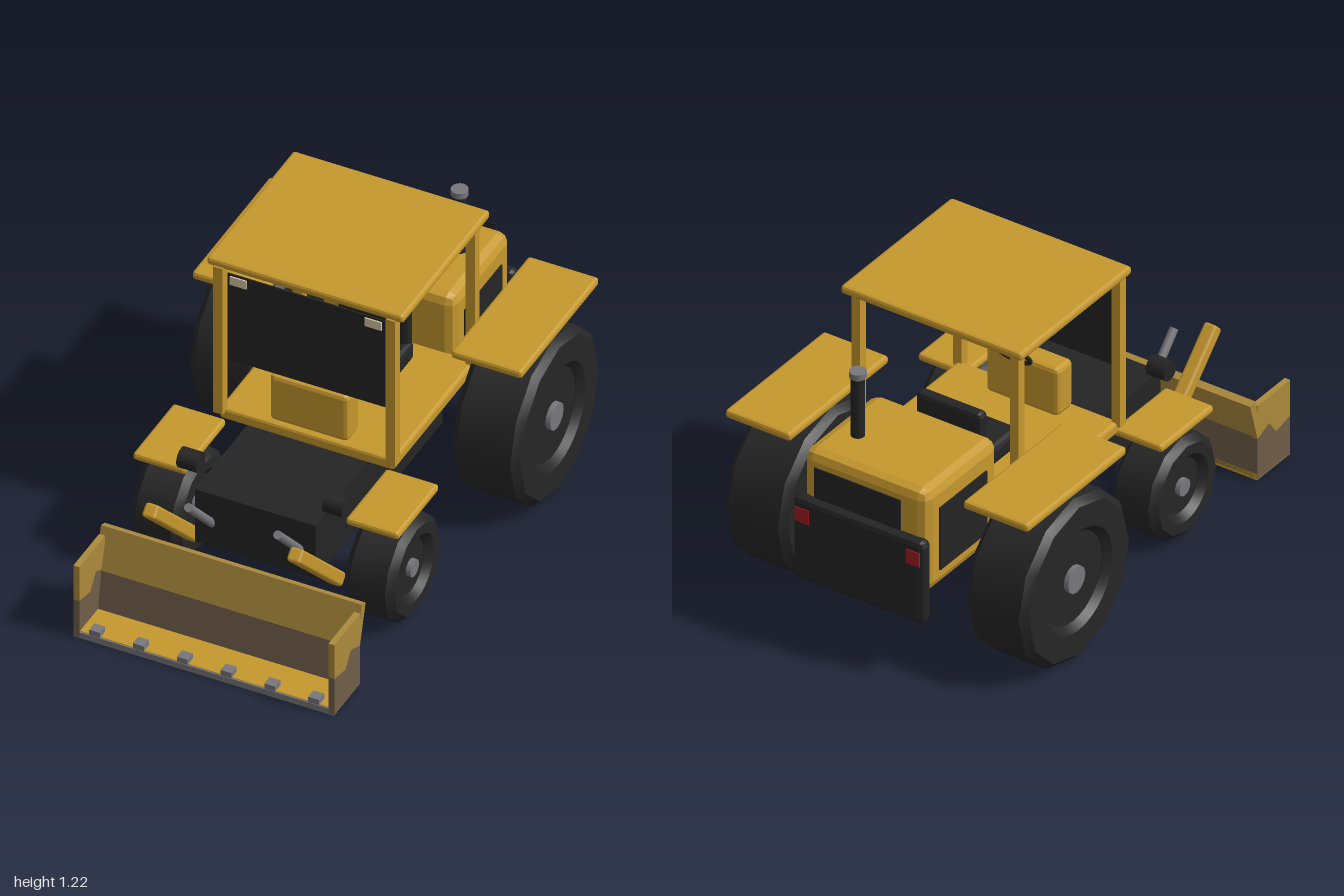
import * as THREE from 'three';
import { toCreasedNormals } from 'three/addons/utils/BufferGeometryUtils.js';
import { RoundedBoxGeometry } from 'three/addons/geometries/RoundedBoxGeometry.js';

const mat = (name, color, side = THREE.FrontSide) => {
  const m = new THREE.MeshStandardMaterial({ color, side });
  m.name = name;
  return m;
};

export function createModel() {
  const model = new THREE.Group();
  model.name = 'loaderTractor';
  const yellow = mat('yellowPaint', 0xc6982e);
  const worn = mat('wornYellow', 0xac8a3c);
  const dirt = mat('dirtBrown', 0x705e48);
  const black = mat('black', 0x242424);
  const rubber = mat('rubber', 0x262626);
  const steel = mat('steel', 0x78787c);
  const cream = mat('creamLamp', 0xd8c8a4);
  const red = mat('redLamp', 0xa01c20);

  const add = (name, geo, material, x = 0, y = 0, z = 0, parent = model) => {
    const mesh = new THREE.Mesh(geo, material);
    mesh.name = name;
    mesh.position.set(x, y, z);
    parent.add(mesh);
    return mesh;
  };
  // Box given by its limits, with optional chamfered edges
  const box = (name, material, [x0, x1], [y0, y1], [z0, z1], chamfer = 0) => {
    const size = [x1 - x0, y1 - y0, z1 - z0];
    let geo = new THREE.BoxGeometry(...size);
    if (chamfer) {
      geo = new RoundedBoxGeometry(...size, 1, chamfer);
      if (geo.index) geo = geo.toNonIndexed();
      geo.computeVertexNormals();
    }
    return add(name, geo, material, (x0 + x1) / 2, (y0 + y1) / 2, (z0 + z1) / 2);
  };
  // Mirrored pair of boxes on +x and -x
  const pair = (name, material, [x0, x1], y, z, chamfer) => {
    box(name + 'Left', material, [x0, x1], y, z, chamfer);
    box(name + 'Right', material, [-x1, -x0], y, z, chamfer);
  };
  // Beam between two points in a side plane
  const beam = (name, geo, material, x, [z0, y0], [z1, y1]) => {
    const m = add(name, geo, material, x, (y0 + y1) / 2, (z0 + z1) / 2);
    m.rotation.x = Math.atan2(z1 - z0, y1 - y0);
  };
  // Extrude a (z, y) outline across x
  const slab = (name, material, points, x0, x1) => {
    const shape = new THREE.Shape(points.map(([z, y]) => new THREE.Vector2(-z, y)));
    const geo = new THREE.ExtrudeGeometry(shape, { depth: x1 - x0, bevelEnabled: false });
    geo.rotateY(Math.PI / 2);
    return add(name, geo, material, x0, 0, 0);
  };

  // Body
  box('chassis', black, [-0.245, 0.245], [0.245, 0.485], [-0.45, 0.582]);
  box('platform', yellow, [-0.355, 0.355], [0.485, 0.535], [-0.5, 0.165], 0.012);
  box('engineHood', yellow, [-0.273, 0.273], [0.345, 0.79], [-0.953, -0.49], 0.04);
  pair('sideGrille', black, [0.272, 0.28], [0.42, 0.69], [-0.87, -0.57]);
  box('rearGrille', black, [-0.19, 0.19], [0.63, 0.76], [-0.999, -0.994]);
  box('counterweight', black, [-0.29, 0.29], [0.245, 0.6], [-0.996, -0.94], 0.022);
  pair('tailLamp', red, [0.215, 0.275], [0.5, 0.56], [-1, -0.993]);
  add('exhaustPipe', new THREE.CylinderGeometry(0.027, 0.027, 0.26, 16), black, 0.157, 0.91, -0.767);
  add('exhaustCap', new THREE.CylinderGeometry(0.033, 0.033, 0.025, 16), steel, 0.157, 1.057, -0.767);

  // Cab
  box('roof', yellow, [-0.4, 0.4], [1.185, 1.22], [-0.53, 0.18], 0.012);
  pair('frontPost', yellow, [0.331, 0.37], [0.52, 1.19], [0.146, 0.184]);
  pair('rearPost', yellow, [0.331, 0.37], [0.52, 1.19], [-0.502, -0.464]);
  box('windshield', black, [-0.32, 0.32], [0.77, 1.165], [0.162, 0.168]);
  pair('workLamp', cream, [0.24, 0.308], [1.12, 1.157], [0.167, 0.174]);
  box('console', yellow, [-0.16, 0.16], [0.535, 0.742], [0.05, 0.15], 0.018);
  const wheel = add('steeringWheel', new THREE.TorusGeometry(0.077, 0.009, 8, 24), black, 0, 0.797, -0.014);
  wheel.rotation.x = -0.64;
  box('seatCushion', black, [-0.155, 0.155], [0.54, 0.62], [-0.41, -0.175], 0.02);
  box('seatBack', black, [-0.145, 0.145], [0.58, 0.795], [-0.42, -0.37], 0.018);

  // Fenders
  pair('rearFender', yellow, [0.382, 0.67], [0.73, 0.765], [-0.877, -0.243], 0.012);
  pair('frontFender', yellow, [0.325, 0.54], [0.46, 0.492], [0.165, 0.5], 0.012);

  // Wheels: twelve-sided tyre with a round recessed rim and a hub
  const addWheel = (name, side, x, y, z, radius, width, rimRadius, hubRadius) => {
    const group = new THREE.Group();
    group.name = name;
    const bevel = 0.027;
    const outline = new THREE.Shape();
    for (let i = 0; i < 12; i++) {
      const a = (i * Math.PI) / 6;
      outline[i ? 'lineTo' : 'moveTo'](radius * Math.cos(a), radius * Math.sin(a));
    }
    outline.closePath();
    const hole = new THREE.Path();
    hole.absarc(0, 0, rimRadius - bevel, 0, Math.PI * 2, true);
    outline.holes.push(hole);
    const tyre = new THREE.ExtrudeGeometry(outline, {
      depth: width - 2 * bevel, bevelThickness: bevel, bevelSize: bevel,
      bevelOffset: -bevel, bevelSegments: 1, curveSegments: 16,
    });
    tyre.translate(0, 0, bevel - width / 2);
    add('tyre', toCreasedNormals(tyre, 0.6), rubber, 0, 0, 0, group);
    const rim = new THREE.CylinderGeometry(rimRadius, rimRadius, width - 0.06, 32);
    add('rim', rim.rotateX(Math.PI / 2), rubber, 0, 0, 0, group);
    const hub = new THREE.CylinderGeometry(hubRadius, hubRadius, width - 0.02, 12);
    add('hub', hub.rotateX(Math.PI / 2), steel, 0, 0, 0, group);
    group.position.set(side * x, y, z);
    group.rotation.y = (side * Math.PI) / 2;
    model.add(group);
  };

  for (const side of [1, -1]) {
    const label = side > 0 ? 'Left' : 'Right';
    addWheel('rearWheel' + label, side, 0.533, 0.347, -0.55, 0.347, 0.275, 0.213, 0.055);
    addWheel('frontWheel' + label, side, 0.435, 0.216, 0.335, 0.211, 0.2, 0.137, 0.035);

    // Headlamp drums, loader arms and pistons
    const drum = new THREE.CylinderGeometry(0.04, 0.04, 0.08, 16).rotateZ(Math.PI / 2);
    add('headlamp' + label, drum, black, side * 0.296, 0.555, 0.513);
    const arm = new RoundedBoxGeometry(0.056, 0.5, 0.056, 1, 0.012);
    beam('loaderArm' + label, arm, yellow, side * 0.294, [0.5, 0.205], [0.848, 0.553]);
    const rod = new THREE.CylinderGeometry(0.017, 0.017, 0.34, 12);
    beam('piston' + label, rod, steel, side * 0.181, [0.53, 0.3], [0.763, 0.548]);

    // Blade side plates, dirty along the bottom
    const wave = [[1, 0.17], [0.91, 0.15], [0.865, 0.21], [0.79, 0.18]];
    const x0 = side > 0 ? 0.506 : -0.53;
    slab('bladeSideLower' + label, dirt, [[0.79, 0.004], [1, 0.004], ...wave].reverse(), x0, x0 + 0.024);
    slab('bladeSideUpper' + label, worn, [...wave, [0.79, 0.325], [1, 0.325]], x0, x0 + 0.024);
  }

  // Blade: back wall in two bands, floor, cutting edge and teeth
  slab('bladeBackUpper', worn, [[0.79, 0.185], [0.82, 0.185], [0.775, 0.355], [0.745, 0.345]], -0.53, 0.53);
  slab('bladeBackLower', dirt, [[0.79, 0.01], [0.85, 0.01], [0.82, 0.185], [0.79, 0.185]], -0.506, 0.506);
  box('bladeFloor', yellow, [-0.528, 0.528], [0, 0.028], [0.79, 0.993]);
  box('cuttingEdge', steel, [-0.53, 0.53], [0, 0.026], [0.993, 1]);
  for (let i = 0; i < 6; i++) {
    const x = (i - 2.5) * 0.178;
    box('tooth' + (i + 1), steel, [x - 0.022, x + 0.022], [0.01, 0.05], [0.955, 0.998]);
  }
  return model;
}
